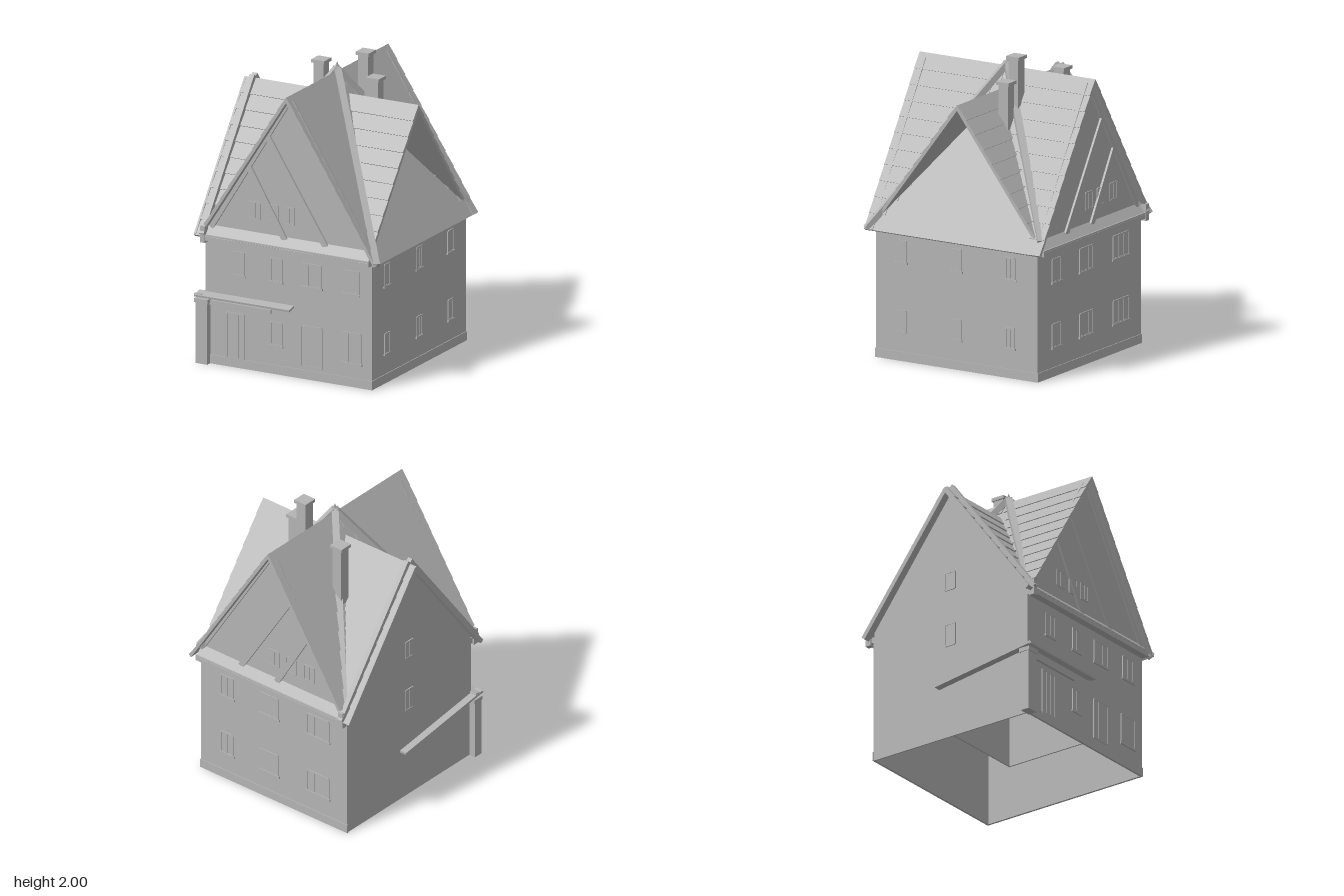
import * as THREE from 'three';

const stone = new THREE.MeshStandardMaterial({ color: 0xb4b4b4 });
stone.name = 'stone grey';

const V = (x, y, z) => new THREE.Vector3(x, y, z);

function add(parent, name, geometry) {
  const mesh = new THREE.Mesh(geometry, stone);
  mesh.name = name;
  parent.add(mesh);
  return mesh;
}

// box given by its limits on each axis
function block(parent, name, x0, x1, y0, y1, z0, z1) {
  const g = new THREE.BoxGeometry(x1 - x0, y1 - y0, z1 - z0);
  g.translate((x0 + x1) / 2, (y0 + y1) / 2, (z0 + z1) / 2);
  return add(parent, name, g);
}

// straight beam between two points
function beam(parent, name, a, b, w, h) {
  const mesh = add(parent, name, new THREE.BoxGeometry(w, h, a.distanceTo(b)));
  mesh.position.copy(a).add(b).multiplyScalar(0.5);
  mesh.lookAt(b);
  return mesh;
}

// flat polygon extruded and centred along z
function prism(points, depth) {
  const shape = new THREE.Shape(points.map(p => new THREE.Vector2(p[0], p[1])));
  const g = new THREE.ExtrudeGeometry(shape, { depth, bevelEnabled: false });
  return g.translate(0, 0, -depth / 2);
}

// point on a roof slope falling towards +x: t along the slope, o above it
function slopePoint(ridge, run, drop, t, o) {
  const len = Math.hypot(run, drop);
  return [run * t + drop / len * o, ridge - drop * t + run / len * o];
}

// cross roof slope with overlapping tile courses
function tiledSlope(ridge, run, drop, length, rows) {
  const at = (t, o) => slopePoint(ridge, run, drop, t, o);
  const pts = [[0, ridge - 0.03], at(1, -0.014)];
  for (let i = rows; i > 0; i--) pts.push(at(i / rows, 0.011), at((i - 1) / rows, 0.003));
  pts[pts.length - 1] = [0, ridge + 0.006];
  return prism(pts, length);
}

// main roof slope: plain slab, with tile courses only between valleys and gable ends
function mainSlope(ridge, run, drop, rows) {
  const group = new THREE.Group();
  group.name = 'mainRoofSlope';
  const at = (t, o) => slopePoint(ridge, run, drop, t, o);
  add(group, 'roofSlab', prism([[0, ridge - 0.03], at(1, -0.014), at(1, 0.003), [0, ridge + 0.006]], 1.34));
  for (let i = 0; i < rows; i++) {
    const t0 = i / rows, t1 = (i + 1) / rows, inner = run * t0 + 0.01, len = 0.67 - inner;
    for (const s of [-1, 1]) {
      const course = prism([at(t0, 0.002), at(t1, 0.002), at(t1, 0.009), at(t0, 0.004)], len);
      add(group, 'tileCourse', course.translate(0, 0, s * (inner + len / 2)));
    }
  }
  return group;
}

// window or door with frame, bars and sill; local front is +z
function opening(parent, name, w, h, bars, sill) {
  const g = new THREE.Group();
  g.name = name;
  const t = 0.01;
  block(g, 'pane', -w / 2, w / 2, -h / 2, h / 2, -0.003, 0.003);
  for (const s of [-1, 1]) {
    block(g, 'frameSide', s * w / 2 - t / 2, s * w / 2 + t / 2, -h / 2, h / 2, -0.004, 0.006);
    block(g, 'frameEdge', -w / 2, w / 2, s * h / 2 - t / 2, s * h / 2 + t / 2, -0.004, 0.006);
  }
  for (let i = 1; i <= bars; i++) {
    const x = -w / 2 + w * i / (bars + 1);
    block(g, 'bar', x - 0.004, x + 0.004, -h / 2, h / 2, -0.003, 0.005);
  }
  if (sill) block(g, 'sill', -w / 2 - 0.012, w / 2 + 0.012, -h / 2 - 0.014, -h / 2, -0.003, 0.01);
  parent.add(g);
  return g;
}

export function createModel() {
  const house = new THREE.Group();
  house.name = 'house';

  // hollow walls with plinth, open underneath
  for (const s of [-1, 1]) {
    const z0 = s > 0 ? 0.607 : -0.617, x0 = s > 0 ? 0.592 : -0.622;
    block(house, 'longWall', -0.622, 0.602, 0, 0.86, z0, z0 + 0.01);
    block(house, 'sideWall', x0, x0 + 0.01, 0, 0.86, -0.617, 0.617);
    block(house, 'plinth', -0.627, 0.607, 0, 0.06, s * 0.617 - 0.005, s * 0.617 + 0.005);
    block(house, 'plinth', x0, x0 + 0.015 * (s > 0 ? 1 : 0.5), 0, 0.06, -0.622, 0.622);
  }
  block(house, 'ceiling', -0.61, 0.59, 0.84, 0.86, -0.605, 0.605);

  // inner room in the front left-hand corner
  block(house, 'innerSideWall', -0.03, -0.02, 0, 0.36, 0.02, 0.607);
  block(house, 'innerBackWall', -0.612, -0.02, 0, 0.36, 0.02, 0.03);
  block(house, 'innerRoomTop', -0.612, 0, 0.36, 0.375, 0, 0.607);

  // front and back gable walls with diagonal timbers
  for (const s of [-1, 1]) {
    const wall = add(house, 'gableWall', prism([[-0.61, 0.85], [0.61, 0.85], [0.61, 0.9], [0, 1.86], [-0.61, 0.9]], 0.02));
    wall.position.z = s * 0.602;
    const z = s * 0.617;
    const timbers = [[-0.02, 1.83, -0.58, 0.92], [0.01, 1.85, 0.6, 0.91], [-0.165, 1.59, 0.265, 0.91], [-0.3, 1.36, -0.035, 0.91]];
    for (const [x0, y0, x1, y1] of timbers) beam(house, 'gableTimber', V(x0, y0, z), V(x1, y1, z), 0.02, 0.04);
    block(house, 'eaveBoard', -0.62, 0.605, 0.835, 0.875, Math.min(s * 0.61, s * 0.668), Math.max(s * 0.61, s * 0.668));
  }

  // left gable wall
  const side = add(house, 'sideGableWall', prism([[-0.61, 0.85], [0.61, 0.85], [0.61, 0.9], [0, 1.72], [-0.61, 0.9]], 0.02));
  side.rotation.y = Math.PI / 2;
  side.position.x = -0.612;

  // main roof, ridge running front to back
  const leftSlope = mainSlope(1.88, 0.6, 0.94, 10);
  leftSlope.rotation.y = Math.PI;
  house.add(leftSlope, mainSlope(1.88, 0.655, 1.03, 11));

  // cross roof, ridge running left to right
  for (const s of [-1, 1]) {
    const g = tiledSlope(1.742, 0.66, 0.885, 1.28, 10).rotateY(-s * Math.PI / 2);
    add(house, 'crossRoof', g.translate(-0.04, 0, 0));
    // raised verge boards on the left gable
    beam(house, 'vergeBoard', V(-0.615, 1.76, 0), V(-0.615, 0.87, s * 0.665), 0.034, 0.05);
    block(house, 'vergeFoot', -0.63, -0.595, 0.82, 0.93, s * 0.655 - 0.02, s * 0.655 + 0.02);
    beam(house, 'vergeTrim', V(-0.673, 1.73, 0), V(-0.673, 0.86, s * 0.655), 0.014, 0.03);
  }

  // boards over the four valleys, meeting in a point
  const corners = [[0.655, 0.855, 0.655], [-0.6, 0.92, 0.6], [0.6, 0.93, -0.64], [-0.6, 0.92, -0.62]];
  for (const c of corners) beam(house, 'valleyBoard', V(0, 1.905, 0), V(...c), 0.045, 0.04);
  add(house, 'valleyPeak', new THREE.ConeGeometry(0.035, 0.07, 4)).position.y = 1.915;

  // chimneys with caps
  const chimneys = [[0.127, -0.15, 1.4, 2], [0.213, -0.127, 1.4, 1.845], [-0.257, -0.25, 1.25, 1.862]];
  for (const [x, z, y0, y1] of chimneys) {
    block(house, 'chimney', x - 0.037, x + 0.037, y0, y1 - 0.02, z - 0.037, z + 0.037);
    block(house, 'chimneyCap', x - 0.048, x + 0.048, y1 - 0.022, y1, z - 0.048, z + 0.048);
  }

  // corner post, beam and tilted canopies on two sides
  block(house, 'porchPost', -0.67, -0.585, 0, 0.41, 0.6, 0.662);
  block(house, 'postCap', -0.675, -0.577, 0.41, 0.438, 0.59, 0.67);
  block(house, 'porchBeam', -0.66, -0.135, 0.4, 0.43, 0.61, 0.635);
  const front = add(house, 'frontCanopy', new THREE.BoxGeometry(0.7, 0.014, 0.075));
  front.position.set(-0.32, 0.466, 0.645);
  front.rotation.x = 0.2;
  beam(house, 'sideCanopy', V(-0.645, 0.36, -0.09), V(-0.645, 0.466, 0.675), 0.055, 0.016);

  // windows and doors per wall: [along, y, width, height, bars, sill]
  const faces = {
    front: [
      [-0.38, 0.7, 0.09, 0.15, 1, true], [-0.1, 0.7, 0.08, 0.15, 1, true],
      [0.16, 0.7, 0.14, 0.15, 2, true], [0.45, 0.7, 0.11, 0.15, 1, true],
      [-0.4, 0.21, 0.13, 0.3, 2, false], [-0.1, 0.27, 0.08, 0.15, 1, true],
      [0.16, 0.22, 0.15, 0.27, 2, false], [0.45, 0.26, 0.14, 0.2, 2, true],
      [-0.26, 1.075, 0.08, 0.11, 1, false], [-0.13, 1.075, 0.08, 0.11, 1, false], [-0.01, 1.075, 0.08, 0.11, 1, false],
    ],
    back: [
      [-0.38, 0.7, 0.1, 0.15, 1, true], [-0.03, 0.7, 0.15, 0.15, 2, true], [0.38, 0.7, 0.18, 0.15, 2, true],
      [-0.38, 0.27, 0.1, 0.15, 1, true], [-0.03, 0.27, 0.15, 0.15, 2, true], [0.38, 0.27, 0.18, 0.15, 2, true],
      [0.01, 1.075, 0.08, 0.11, 1, false], [0.15, 1.075, 0.08, 0.11, 1, false], [0.3, 1.075, 0.08, 0.11, 1, false],
    ],
    right: [-0.42, 0, 0.41].flatMap(u => [[u, 0.265, 0.06, 0.13, 1, true], [u, 0.725, 0.07, 0.14, 1, true]]),
    left: [[0, 0.72, 0.075, 0.15, 1, false], [0, 1.1, 0.075, 0.12, 1, false]],
  };
  const turns = { front: [0, 0.617], right: [Math.PI / 2, 0.602], back: [Math.PI, 0.617], left: [-Math.PI / 2, 0.623] };
  for (const [face, list] of Object.entries(faces)) {
    const wall = new THREE.Group();
    wall.name = face + 'Openings';
    wall.rotation.y = turns[face][0];
    for (const [u, y, w, h, bars, sill] of list) {
      opening(wall, 'window', w, h, bars, sill).position.set(u, y, turns[face][1] - (y > 1 && face !== 'left' ? 0.005 : 0));
    }
    house.add(wall);
  }

  return house;
}
